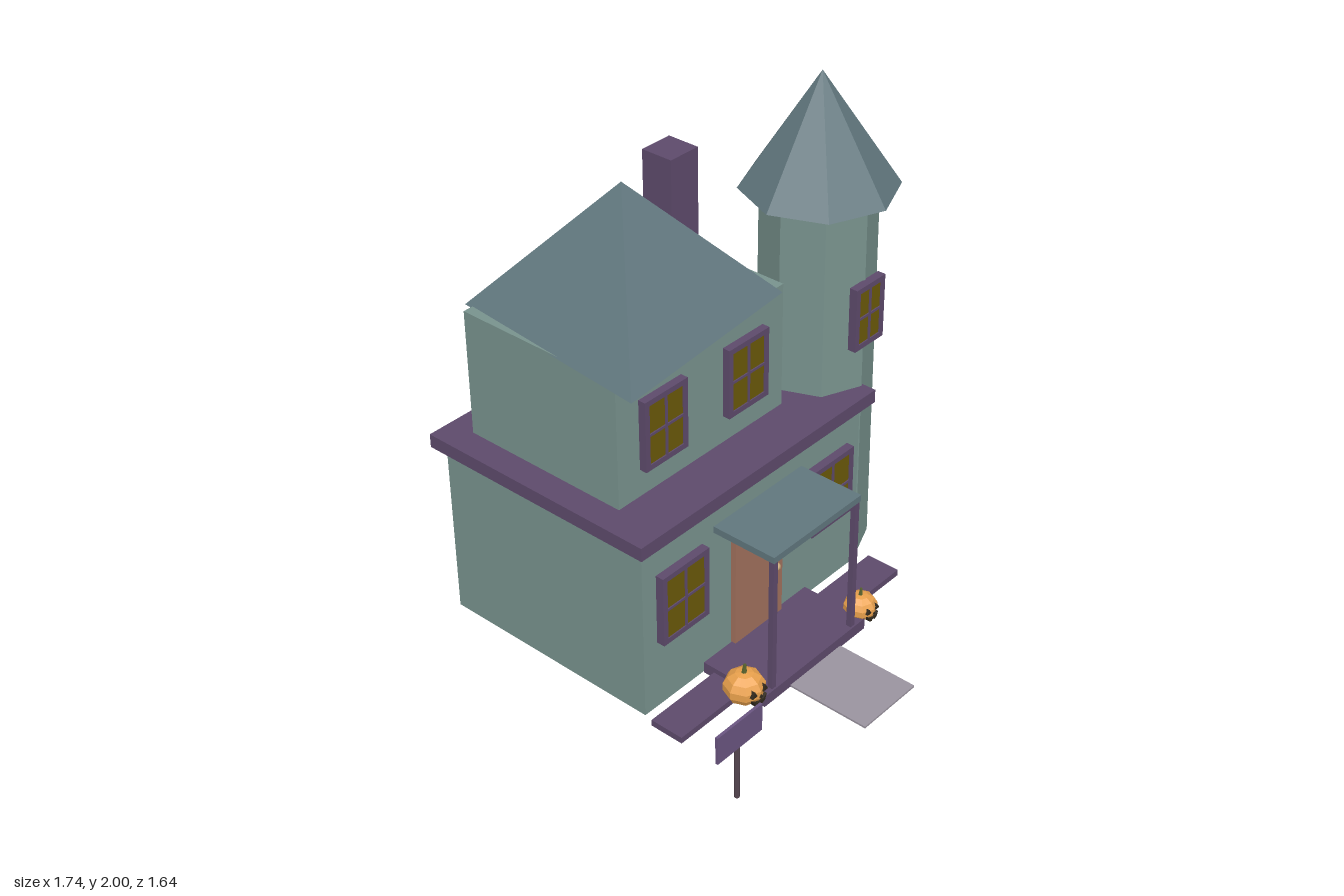
import * as THREE from 'three';

const mat = (color) => {
  const m = new THREE.MeshStandardMaterial({ flatShading: true });
  m.color.set(color);
  return m;
};
const WALL = mat(0x78928d), ROOF = mat(0x60767d), TRIM = mat(0x5d4a6b), DOOR = mat(0xa0705c);
const GLASS = mat(0x6a5808), PATH = mat(0x9a939f), PUMPKIN = mat(0xe8a04c);
const STEM = mat(0x55602c), DARK = mat(0x30281c), KNOB = mat(0xc9a878), POST = mat(0x54454f), BOARD = mat(0x6a5580);

function add(parent, name, geometry, material, x = 0, y = 0, z = 0) {
  const mesh = new THREE.Mesh(geometry, material);
  mesh.name = name;
  mesh.position.set(x, y, z);
  parent.add(mesh);
  return mesh;
}

// Box given by its limits on each axis
function box(parent, name, material, [x0, x1], [y0, y1], [z0, z1]) {
  return add(parent, name, new THREE.BoxGeometry(x1 - x0, y1 - y0, z1 - z0), material,
    (x0 + x1) / 2, (y0 + y1) / 2, (z0 + z1) / 2);
}

// Framed four-pane window whose back sits at z
function addWindow(parent, name, x, y, z, w, h) {
  const g = new THREE.Group();
  g.name = name;
  g.position.set(x, y, z);
  const t = 0.022;
  for (const s of [-1, 1]) {
    add(g, 'frameSide', new THREE.BoxGeometry(t, h, 0.034), TRIM, s * (w - t) / 2, 0, 0.012);
    add(g, 'frameRail', new THREE.BoxGeometry(w - 2 * t, t, 0.034), TRIM, 0, s * (h - t) / 2, 0.012);
  }
  add(g, 'pane', new THREE.BoxGeometry(w - 2 * t, h - 2 * t, 0.024), GLASS, 0, 0, 0.012);
  add(g, 'verticalBar', new THREE.BoxGeometry(0.01, h - 2 * t, 0.008), TRIM, 0, 0, 0.025);
  add(g, 'crossBar', new THREE.BoxGeometry(w - 2 * t, 0.01, 0.008), TRIM, 0, 0, 0.025);
  parent.add(g);
}

// Flat polygon pushed out along z
function plate(points, depth) {
  const shape = new THREE.Shape(points.map(([x, y]) => new THREE.Vector2(x, y)));
  return new THREE.ExtrudeGeometry(shape, { depth, bevelEnabled: false });
}

// Carved pumpkin of radius r centred at x, y, z
function addPumpkin(parent, name, x, y, z, r) {
  const g = new THREE.Group();
  g.name = name;
  g.position.set(x, y, z);
  g.scale.setScalar(r);
  const body = new THREE.SphereGeometry(1, 16, 7);
  const p = body.attributes.position;
  for (let i = 0; i < p.count; i++) {
    const a = Math.atan2(p.getZ(i), p.getX(i));
    const lobe = 0.96 + 0.04 * Math.cos(8 * a);
    p.setXYZ(i, p.getX(i) * lobe, p.getY(i) * 0.82, p.getZ(i) * lobe);
  }
  body.computeVertexNormals();
  add(g, 'body', body, PUMPKIN);
  add(g, 'stem', new THREE.CylinderGeometry(0.08, 0.14, 0.5, 6), STEM, 0, 0.95, 0).rotation.z = -0.12;
  const eye = plate([[-0.17, -0.12], [0.17, -0.12], [0, 0.2]], 0.3);
  for (const s of [-1, 1]) add(g, 'eye', eye, DARK, s * 0.36, 0.15, 0.64);
  add(g, 'nose', plate([[-0.08, -0.07], [0.08, -0.07], [0, 0.1]], 0.2), DARK, 0, -0.05, 0.82);
  const grin = [[-0.45, -0.15], [-0.28, -0.25], [-0.2, -0.32], [0.2, -0.32], [0.28, -0.25], [0.45, -0.15],
    [0.32, -0.46], [0.12, -0.54], [0.08, -0.45], [-0.08, -0.45], [-0.12, -0.54], [-0.32, -0.46]];
  add(g, 'mouth', plate(grin, 0.3), DARK, 0, -0.05, 0.64);
  parent.add(g);
}

export function createModel() {
  const house = new THREE.Group();
  house.name = 'hauntedHouse';

  // Two storeys, the ledge between them and the chimney
  box(house, 'lowerStorey', WALL, [-0.66, 0.54], [0, 0.74], [-0.77, 0.185]);
  box(house, 'ledge', TRIM, [-0.7, 0.58], [0.73, 0.785], [-0.81, 0.225]);
  box(house, 'upperStorey', WALL, [-0.59, 0.28], [0.78, 1.295], [-0.7, 0.02]);
  box(house, 'chimney', TRIM, [0.23, 0.375], [1.26, 1.64], [-0.605, -0.465]);

  // Crooked main roof: a four-sided cone stretched along one diagonal
  const roof = add(house, 'mainRoof', new THREE.ConeGeometry(1, 0.46, 4), ROOF, -0.155, 1.52, -0.343);
  roof.scale.set(0.557, 1, 0.671);
  roof.rotation.y = -Math.PI / 4;

  // Octagonal tower
  add(house, 'tower', new THREE.CylinderGeometry(0.219, 0.226, 1.55, 8), WALL, 0.567, 0.775, -0.053);
  add(house, 'towerRoof', new THREE.ConeGeometry(0.298, 0.45, 8), ROOF, 0.567, 1.775, -0.053);

  // Windows
  addWindow(house, 'towerWindow', 0.567, 1.11, 0.167, 0.165, 0.26);
  for (const x of [-0.373, 0.06]) addWindow(house, 'upperWindow', x, 1.038, 0.022, 0.215, 0.285);
  for (const x of [-0.47, 0.35]) addWindow(house, 'lowerWindow', x, 0.438, 0.19, 0.24, 0.295);

  // Door
  box(house, 'door', DOOR, [-0.195, 0.07], [0.045, 0.51], [0.17, 0.208]);
  add(house, 'doorKnob', new THREE.SphereGeometry(0.016, 10, 8), KNOB, 0.022, 0.283, 0.22);

  // Porch, walkway and path
  box(house, 'porchFloor', TRIM, [-0.35, 0.23], [0, 0.047], [0.19, 0.478]);
  box(house, 'porchRoof', ROOF, [-0.305, 0.18], [0.615, 0.642], [0.2, 0.475]);
  for (const x of [-0.29, 0.166]) box(house, 'porchPost', TRIM, [x - 0.011, x + 0.011], [0.04, 0.62], [0.449, 0.471]);
  box(house, 'walkway', TRIM, [-0.685, 0.567], [0, 0.026], [0.238, 0.38]);
  box(house, 'path', PATH, [-0.205, 0.085], [0, 0.008], [0.465, 0.818]);

  // Sign
  add(house, 'signPost', new THREE.CylinderGeometry(0.01, 0.01, 0.265, 8), POST, -0.757, 0.1325, 0.696);
  box(house, 'signBoard', BOARD, [-0.872, -0.645], [0.235, 0.35], [0.7, 0.711]);

  // Pumpkins
  addPumpkin(house, 'largePumpkin', -0.377, 0.078, 0.405, 0.08);
  addPumpkin(house, 'smallPumpkin', 0.265, 0.064, 0.43, 0.066);

  return house;
}
